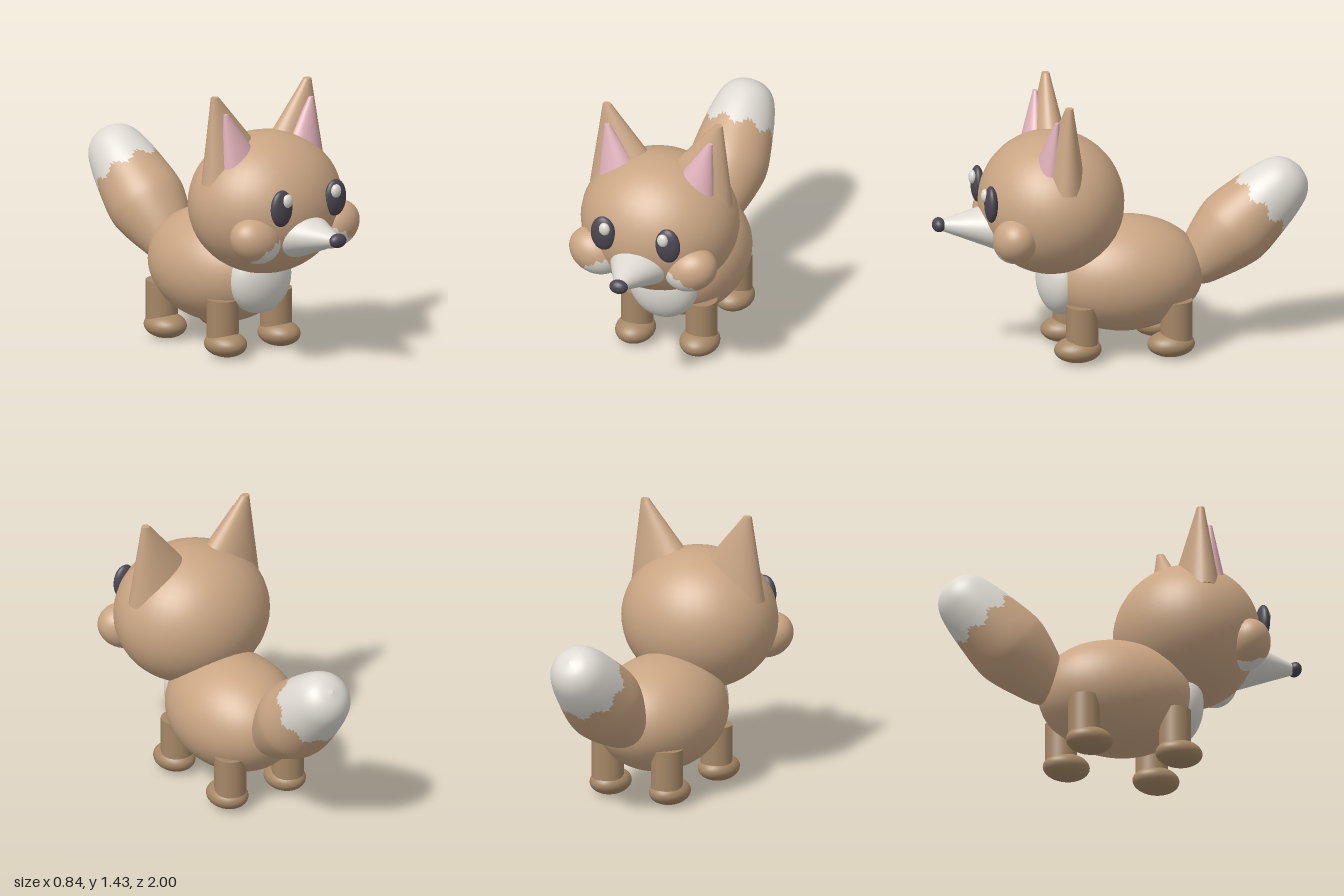
import * as THREE from 'three';

const V = (x, y, z) => new THREE.Vector3(x, y, z);
const material = (name, color) => new THREE.MeshStandardMaterial({ name, color });

export function createModel() {
  const fox = new THREE.Group();
  fox.name = 'fox';

  const tan = material('tan fur', 0xc9a583);
  const brown = material('brown leg fur', 0xa58766);
  const cream = material('cream fur', 0xdedad2);
  const dark = material('dark eye and nose', 0x4c4650);
  const pink = material('pink inner ear', 0xdfb0b9);

  function add(name, geometry, mat, position) {
    const mesh = new THREE.Mesh(geometry, mat);
    mesh.name = name;
    if (position) mesh.position.copy(position);
    fox.add(mesh);
    return mesh;
  }

  function ellipsoid(name, mat, center, rx, ry, rz) {
    const mesh = add(name, new THREE.SphereGeometry(1, 40, 28), mat, center);
    mesh.scale.set(rx, ry, rz);
    return mesh;
  }

  // Slanted elliptical cone, its end rings lying in the xz plane
  function slantedCone(from, rx0, rz0, to, rx1, rz1) {
    const geometry = new THREE.CylinderGeometry(1, 1, 1, 40, 6);
    const p = geometry.attributes.position;
    for (let i = 0; i < p.count; i++) {
      const t = p.getY(i) + 0.5;
      const c = from.clone().lerp(to, t);
      p.setXYZ(i,
        c.x + p.getX(i) * THREE.MathUtils.lerp(rx0, rx1, t),
        c.y,
        c.z + p.getZ(i) * THREE.MathUtils.lerp(rz0, rz1, t));
    }
    geometry.computeVertexNormals();
    return geometry;
  }

  // Sort the triangles into two material groups by a rule on their centroid
  function splitColours(geometry, isSecond) {
    const p = geometry.attributes.position;
    const index = geometry.index.array;
    const first = [], second = [];
    for (let i = 0; i < index.length; i += 3) {
      const tri = [index[i], index[i + 1], index[i + 2]];
      const c = V(0, 0, 0);
      tri.forEach((k) => c.add(V(p.getX(k), p.getY(k), p.getZ(k))));
      (isSecond(c.divideScalar(3)) ? second : first).push(...tri);
    }
    geometry.setIndex([...first, ...second]);
    geometry.addGroup(0, first.length, 0);
    geometry.addGroup(first.length, second.length, 1);
    return geometry;
  }

  // Body, chest and head
  ellipsoid('body', tan, V(0, 0.417, -0.02), 0.325, 0.304, 0.42);
  ellipsoid('chest', cream, V(0, 0.415, 0.32), 0.19, 0.198, 0.127);
  ellipsoid('head', tan, V(0, 0.83, 0.37), 0.42, 0.376, 0.382);

  // Muzzle, built upright and tipped forward, with the nose on its end
  const muzzle = slantedCone(V(0, 0.6, -0.71), 0.2, 0.145, V(0, 0.96, -0.737), 0.027, 0.027);
  add('muzzle', muzzle.rotateX(Math.PI / 2), cream);
  ellipsoid('nose', dark, V(0, 0.74, 0.967), 0.05, 0.038, 0.035);

  for (const side of [1, -1]) {
    const label = side > 0 ? 'left' : 'right';

    // Eye with its highlight
    ellipsoid(`${label}Eye`, dark, V(side * 0.181, 0.893, 0.725), 0.068, 0.098, 0.034);
    ellipsoid(`${label}EyeHighlight`, cream, V(side * 0.163, 0.936, 0.754), 0.03, 0.036, 0.021);

    // Cheek, cream on its lower inner face
    const toCream = V(-side * 0.5, -0.8, 0.3).normalize();
    const cheekGeometry = new THREE.SphereGeometry(1, 48, 32);
    cheekGeometry.scale(0.148, 0.12, 0.117).rotateZ(-side * -0.45);
    splitColours(cheekGeometry, (c) =>
      V(c.x / 0.14, c.y / 0.13, c.z / 0.117).dot(toCream) > 0.5 + 0.05 * Math.sin(c.x * 110));
    add(`${label}Cheek`, cheekGeometry, [tan, cream], V(side * 0.265, 0.712, 0.613));

    // Outer and inner ear
    add(`${label}Ear`, slantedCone(
      V(side * 0.15, 0.975, 0.352), 0.245, 0.127,
      V(side * 0.312, 1.435, 0.335), 0.022, 0.02), tan);
    add(`${label}InnerEar`, slantedCone(
      V(side * 0.175, 1.0, 0.43), 0.15, 0.09,
      V(side * 0.287, 1.35, 0.396), 0.014, 0.012), pink);

    // Front and back legs with feet
    for (const [end, legZ, footZ] of [['Front', 0.24, 0.263], ['Back', -0.262, -0.233]]) {
      add(`${label}${end}Leg`, new THREE.CylinderGeometry(0.084, 0.084, 0.24, 32), brown,
        V(side * 0.18, 0.187, legZ));
      ellipsoid(`${label}${end}Foot`, brown, V(side * 0.18, 0.068, footZ), 0.104, 0.068, 0.125);
    }
  }

  // Bushy tail, turned around its axis, with a ragged cream tip
  const profile = new THREE.SplineCurve([
    [0, -0.03], [0.1, 0.01], [0.155, 0.13], [0.198, 0.27], [0.207, 0.36], [0.19, 0.5],
    [0.167, 0.63], [0.135, 0.725], [0.08, 0.78], [0, 0.802],
  ].map(([r, h]) => new THREE.Vector2(r, h))).getPoints(60);
  profile.forEach((p) => { p.x = Math.max(0, p.x); });
  const tailGeometry = splitColours(new THREE.LatheGeometry(profile, 64), (c) =>
    c.y > 0.525 + 0.02 * Math.sin(Math.atan2(c.z, c.x) * 8));
  const tail = add('tail', tailGeometry, [tan, cream], V(0, 0.4, -0.36));
  tail.quaternion.setFromUnitVectors(V(0, 1, 0), V(0, 0.425, -0.47).normalize());

  return fox;
}
